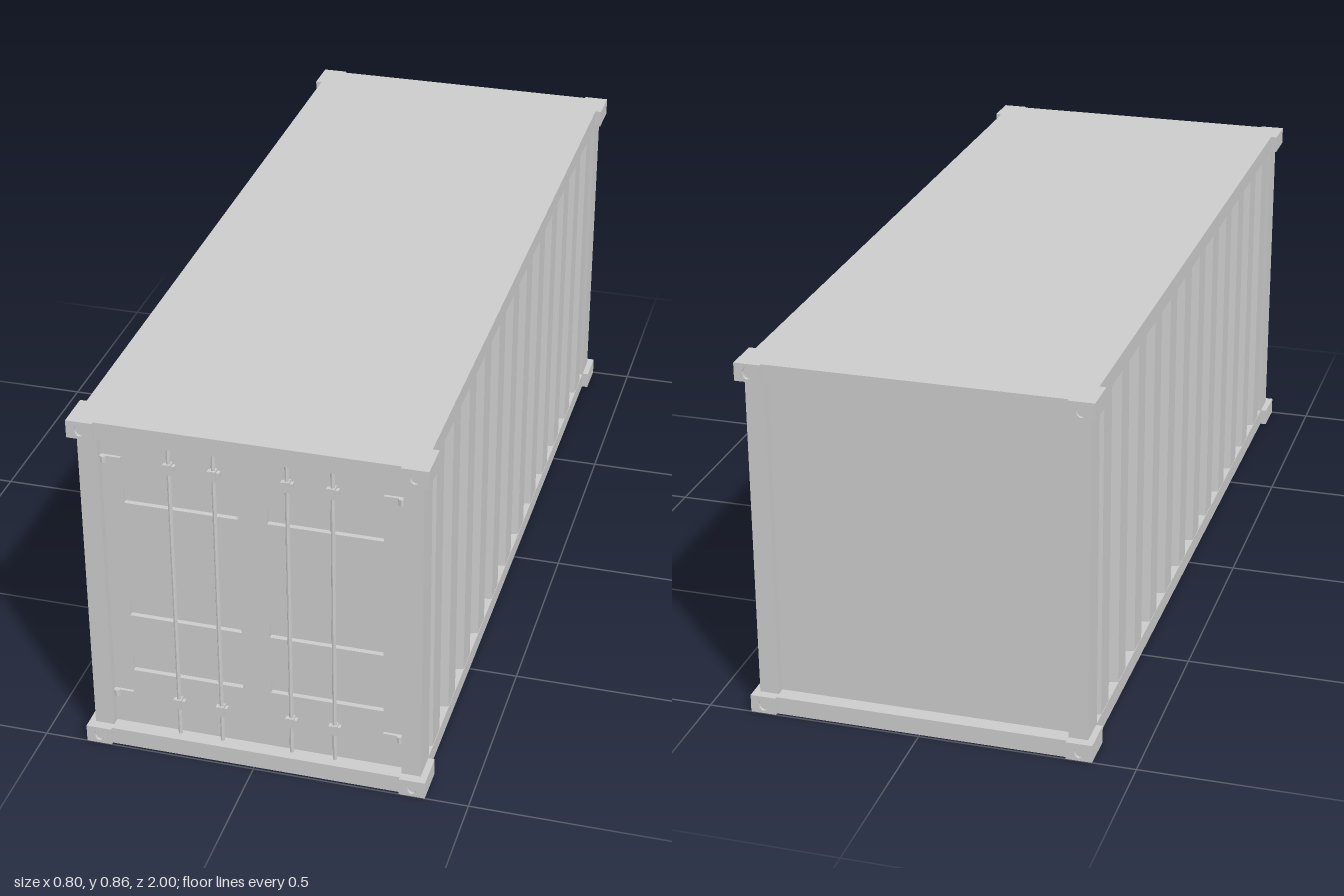
import * as THREE from 'three';

const mat = new THREE.MeshStandardMaterial({ color: 0xcccccc, flatShading: true });
const H = 0.855, RAIL = 0.042;

function add(parent, name, geometry, x = 0, y = 0, z = 0) {
  const mesh = new THREE.Mesh(geometry, mat);
  mesh.name = name;
  mesh.position.set(x, y, z);
  parent.add(mesh);
  return mesh;
}

function box(parent, name, w, h, d, x, y, z) {
  return add(parent, name, new THREE.BoxGeometry(w, h, d), x, y, z);
}

function rectPath(path, x0, y0, x1, y1) {
  path.moveTo(x0, y0);
  path.lineTo(x1, y0);
  path.lineTo(x1, y1);
  path.lineTo(x0, y1);
  path.closePath();
  return path;
}

// Corrugated side wall: twelve outward ribs with steep flanks
function sideWall(parent, s) {
  const outer = 0.384, inner = 0.342, half = 0.0377, slope = 0.005;
  const shape = new THREE.Shape();
  shape.moveTo(s * 0.32, -0.92);
  shape.lineTo(s * inner, -0.92);
  for (let i = 0; i < 12; i++) {
    const c = (i - 5.5) * 0.1512;
    shape.lineTo(s * inner, c - half - slope);
    shape.lineTo(s * outer, c - half + slope);
    shape.lineTo(s * outer, c + half - slope);
    shape.lineTo(s * inner, c + half + slope);
  }
  shape.lineTo(s * inner, 0.92);
  shape.lineTo(s * 0.32, 0.92);
  const g = new THREE.ExtrudeGeometry(shape, { depth: H - 2 * RAIL, bevelEnabled: false });
  g.rotateX(-Math.PI / 2);
  add(parent, s > 0 ? 'leftWall' : 'rightWall', g, 0, RAIL, 0);
}

// Corner casting with an oval lifting pocket in its end face
function cornerCasting(parent, sx, y, sz) {
  const g = new THREE.Group();
  g.name = 'cornerCasting';
  const face = rectPath(new THREE.Shape(), -0.03, -RAIL / 2, 0.03, RAIL / 2);
  const hole = new THREE.Path();
  hole.absellipse(0, 0, 0.011, 0.015, 0, Math.PI * 2, true);
  face.holes.push(hole);
  const plate = new THREE.ExtrudeGeometry(face, { depth: 0.015, bevelEnabled: false, curveSegments: 6 });
  add(g, 'castingFace', plate, 0, 0, 0.03);
  box(g, 'castingBlock', 0.06, RAIL, 0.075, 0, 0, -0.0075);
  g.position.set(sx * 0.37, y, sz * 0.955);
  if (sz < 0) g.rotation.y = Math.PI;
  parent.add(g);
}

// Door leaf with three recessed horizontal panels
function door(parent, s) {
  const g = new THREE.Group();
  g.name = s > 0 ? 'leftDoor' : 'rightDoor';
  const a = s > 0 ? 0 : -0.342, b = s > 0 ? 0.342 : 0;
  const leaf = rectPath(new THREE.Shape(), a, RAIL, b, H - RAIL);
  for (const y of [0.19, 0.341, 0.639]) {
    const x0 = s > 0 ? 0.033 : -0.293, x1 = s > 0 ? 0.293 : -0.033;
    leaf.holes.push(rectPath(new THREE.Path(), x0, y, x1, y + 0.038));
  }
  add(g, 'doorLeaf', new THREE.ExtrudeGeometry(leaf, { depth: 0.012, bevelEnabled: false }), 0, 0, 0.946);
  box(g, 'doorBacking', 0.342, H - 2 * RAIL, 0.02, (a + b) / 2, H / 2, 0.936);

  // Locking rods held by brackets
  for (const x of [0.082, 0.183]) {
    add(g, 'lockRod', new THREE.CylinderGeometry(0.005, 0.005, H - 2 * RAIL, 8), s * x, H / 2, 0.967);
    for (const y of [0.126, 0.75]) {
      box(g, 'rodBracket', 0.028, 0.014, 0.012, s * x, y, 0.964);
      box(g, 'rodClamp', 0.014, 0.025, 0.018, s * x, y, 0.967);
    }
  }
  // Hinges beside the corner posts
  for (const y of [0.126, 0.75]) {
    box(g, 'hingePlate', 0.046, 0.015, 0.008, s * 0.317, y, 0.961);
    const pin = new THREE.CylinderGeometry(0.007, 0.007, 0.016, 8);
    add(g, 'hingePin', pin, s * 0.333, y, 0.965);
  }
  parent.add(g);
}

export function createModel() {
  const model = new THREE.Group();
  model.name = 'shippingContainer';

  // Floor and roof slabs form the rails
  box(model, 'floorFrame', 0.77, RAIL, 1.986, 0, RAIL / 2, 0);
  box(model, 'roofFrame', 0.77, RAIL, 1.986, 0, H - RAIL / 2, 0);

  for (const s of [-1, 1]) {
    sideWall(model, s);
    door(model, s);
    for (const e of [-1, 1]) {
      box(model, 'cornerPost', 0.045, H - 2 * RAIL, 0.073, s * 0.3625, H / 2, e * 0.9415);
      cornerCasting(model, s, RAIL / 2, e);
      cornerCasting(model, s, H - RAIL / 2, e);
    }
  }

  // Plain rear panel
  box(model, 'rearWall', 0.684, H - 2 * RAIL, 0.02, 0, H / 2, -0.946);
  return model;
}
